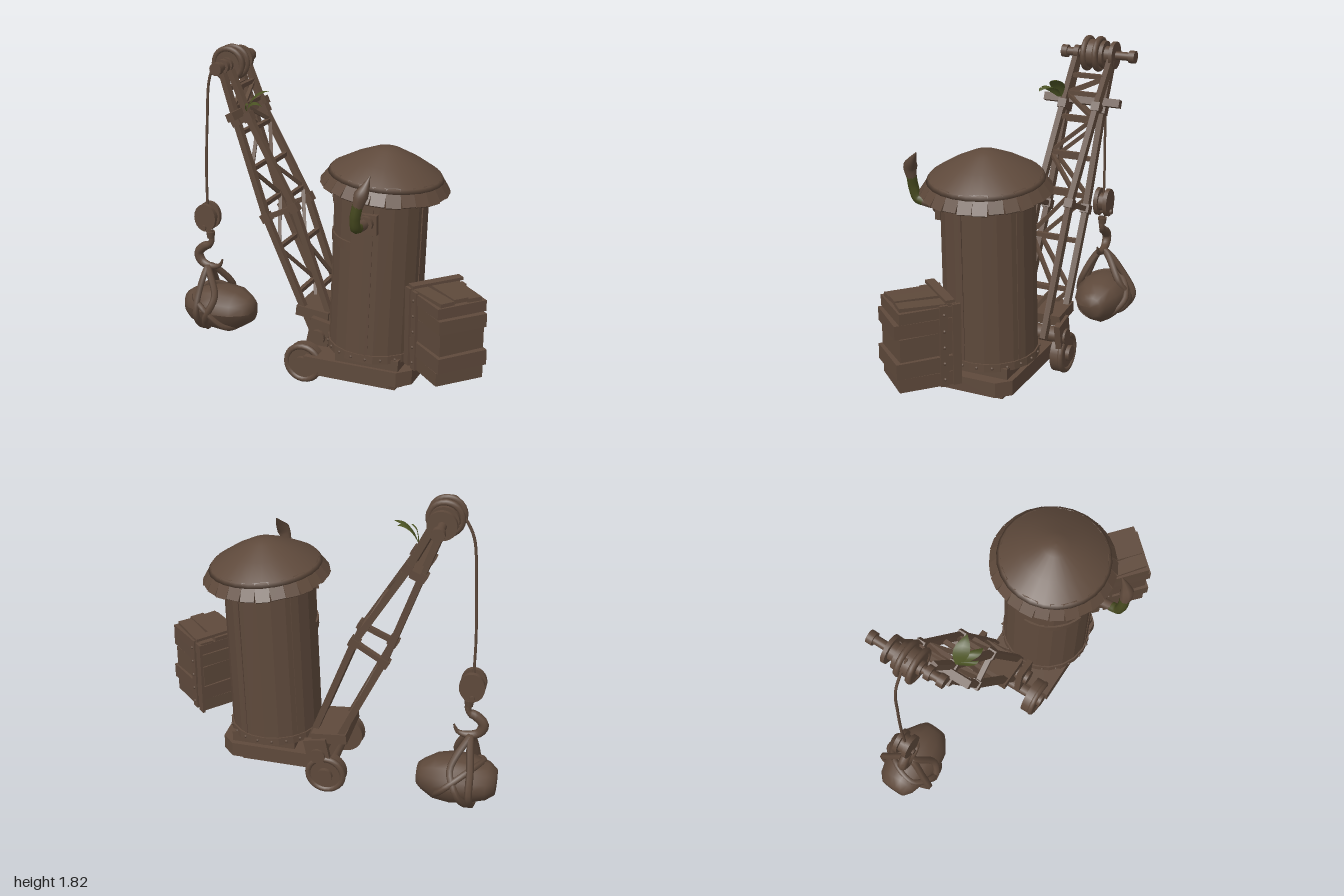
import * as THREE from 'three';

const V = (x, y, z) => new THREE.Vector3(x, y, z);
const paint = (name, color, extra = {}) => Object.assign(new THREE.MeshStandardMaterial({ color, ...extra }), { name });

export function createModel() {
  const model = new THREE.Group();
  const wood = paint('brown', 0x5e493b);
  const facet = wood;
  const moss = paint('moss green', 0x46491f);
  const leafGreen = paint('leaf green', 0x4c5424, { side: THREE.DoubleSide });
  const blue = paint('window blue', 0x2c5c7c);

  const add = (name, geo, pos = [0, 0, 0], rot = [0, 0, 0], mat = wood, parent = model) => {
    const m = new THREE.Mesh(geo, mat);
    m.name = name;
    m.position.set(...pos);
    m.rotation.set(...rot);
    parent.add(m);
    return m;
  };
  const group = (name, pos = [0, 0, 0], rot = [0, 0, 0]) => {
    const g = new THREE.Group();
    g.name = name;
    g.position.set(...pos);
    g.rotation.set(...rot);
    model.add(g);
    return g;
  };
  const box = (w, h, d) => new THREE.BoxGeometry(w, h, d);
  const cyl = (r0, r1, h, n = 20) => new THREE.CylinderGeometry(r0, r1, h, n);
  const flat = (geo) => {
    const g = geo.toNonIndexed();
    g.computeVertexNormals();
    return g;
  };
  // Square bar between two points
  const beam = (name, a, b, w, h = w, parent = model) => {
    const m = add(name, box(w, h, a.distanceTo(b)), [0, 0, 0], [0, 0, 0], wood, parent);
    m.position.copy(a).lerp(b, 0.5);
    m.lookAt(b);
    return m;
  };
  // Tube whose radius follows a rule along its length
  const tube = (pts, radius, closed = false, n = 28, sides = 8) => {
    const curve = new THREE.CatmullRomCurve3(pts, closed);
    const g = new THREE.TubeGeometry(curve, n, 1, sides, closed);
    const p = g.attributes.position, v = V(0, 0, 0);
    for (let i = 0; i < p.count; i++) {
      const t = Math.floor(i / (sides + 1)) / n, c = curve.getPointAt(t);
      v.fromBufferAttribute(p, i).sub(c).multiplyScalar(radius(t)).add(c);
      p.setXYZ(i, v.x, v.y, v.z);
    }
    return g;
  };

  // Base platform with clipped rear corners
  const slab = (x0, x1, z0, z1, h, cut) => {
    const s = new THREE.Shape([[x0, -z0], [x1 - cut, -z0], [x1, -z0 - cut], [x1, -z1 + cut], [x1 - cut, -z1], [x0, -z1]]
      .map(([x, y]) => new THREE.Vector2(x, y)));
    return new THREE.ExtrudeGeometry(s, { depth: h, bevelEnabled: false });
  };
  add('basePlatform', slab(-0.02, 0.6, -0.24, 0.21, 0.085, 0.07), [0, 0.1, 0], [-Math.PI / 2, 0, 0]);
  add('lowerPlatform', slab(0.03, 0.54, -0.2, 0.18, 0.035, 0.06), [0, 0.065, 0], [-Math.PI / 2, 0, 0]);
  for (let i = 0; i < 5; i++) add('undersidePlank', box(0.45, 0.02, 0.058), [0.28, 0.058, -0.14 + i * 0.065]);
  add('towerNeck', box(0.37, 0.07, 0.4), [0.35, 0.21, -0.01]);

  // Wheels and axle
  for (const [z, s] of [[0.14, 1], [-0.285, -1]]) {
    add('wheel', cyl(0.113, 0.113, 0.065, 24), [-0.043, 0.12, z], [Math.PI / 2, 0, 0]);
    add('wheelRim', new THREE.TorusGeometry(0.1, 0.018, 8, 24), [-0.043, 0.12, z + s * 0.025]);
    add('wheelHub', cyl(0.045, 0.045, 0.03, 12), [-0.043, 0.12, z + s * 0.04], [Math.PI / 2, 0, 0]);
  }
  add('axle', cyl(0.035, 0.035, 0.46, 10), [-0.043, 0.12, -0.07], [Math.PI / 2, 0, 0]);

  // Tower body, leaning slightly
  const tower = group('tower', [0.322, 0.23, -0.013], [0, 0, -0.034]);
  add('towerBody', flat(cyl(0.253, 0.258, 1.04, 20)), [0, 0.52, 0], [0, 0, 0], facet, tower);
  add('towerBaseBand', flat(cyl(0.266, 0.268, 0.045, 20)), [0, 0.025, 0], [0, 0, 0], facet, tower);
  for (let i = 0; i < 20; i++) {
    const a = (i + 0.5) / 20 * Math.PI * 2;
    add('rivet', new THREE.SphereGeometry(0.009, 6, 4), [Math.sin(a) * 0.266, 0.025, Math.cos(a) * 0.266], [0, 0, 0], wood, tower);
    if (i % 4 === 0) add('towerSeam', box(0.018, 1, 0.008), [Math.sin(a) * 0.254, 0.52, Math.cos(a) * 0.254], [0, a, 0], wood, tower);
  }
  // Side patch strap
  add('towerStrap', new THREE.CylinderGeometry(0.264, 0.264, 0.05, 8, 1, false, -1.6, 1.3), [0, 0.66, 0], [0, 0, 0], wood, tower);
  // Window
  const win = new THREE.Group();
  win.name = 'window';
  win.position.set(0, 0.935, 0);
  win.rotation.y = -1.13;
  tower.add(win);
  add('windowPane', box(0.085, 0.13, 0.008), [0, 0, 0.254], [0, 0, 0], blue, win);
  for (const s of [-1, 1]) {
    add('windowSide', box(0.014, 0.15, 0.02), [s * 0.046, 0, 0.254], [0, 0, 0], wood, win);
    add('windowLedge', box(0.11, 0.014, 0.022), [0, s * 0.07, 0.254], [0, 0, 0], wood, win);
  }

  // Roof with shingle skirt
  const roof = group('roof', [0.37, 1.2, -0.013], [0, 0, -0.09]);
  const profile = [[0.25, 0.0], [0.315, 0.04], [0.3, 0.06], [0.19, 0.127], [0.075, 0.182], [0.03, 0.193], [0, 0.195]];
  add('roofCone', new THREE.LatheGeometry(profile.map(([x, y]) => new THREE.Vector2(x, y)), 26), [0, 0, 0], [0, 0, 0], wood, roof);
  add('roofUnderside', cyl(0.27, 0.25, 0.03, 26), [0, 0.012, 0], [0, 0, 0], wood, roof);
  for (let i = 0; i < 26; i++) {
    const pivot = new THREE.Group();
    pivot.name = 'shingle';
    pivot.rotation.y = i / 26 * Math.PI * 2;
    roof.add(pivot);
    add('shinglePlate', box(0.077, 0.095 + (i % 3) * 0.006, 0.018), [0, 0.016, 0.315], [-0.6, 0, (i % 4 - 1.5) * 0.03], wood, pivot);
  }

  // Bent chimney pipe
  add('pipePlate', box(0.115, 0.11, 0.03), [0.37, 1.04, 0.25]);
  add('pipeCollar', cyl(0.042, 0.042, 0.03, 12), [0.37, 1.05, 0.275], [Math.PI / 2, 0, 0]);
  add('pipeArm', tube([V(0.365, 1.05, 0.24), V(0.365, 1.05, 0.32), V(0.365, 1.06, 0.385)], () => 0.028));
  add('pipeBend', tube([V(0.365, 1.055, 0.365), V(0.365, 1.07, 0.405), V(0.37, 1.13, 0.425), V(0.385, 1.2, 0.428)], () => 0.029), undefined, undefined, moss);
  add('pipeSpout', tube([V(0.383, 1.19, 0.428), V(0.4, 1.25, 0.425), V(0.415, 1.29, 0.405), V(0.428, 1.345, 0.37)],
    (t) => t < 0.4 ? 0.028 + t * 0.03 : 0.002 + 0.063 * (1 - t)));

  // Slatted crate hung on the tower
  const crate = group('crate', [0.79, 0, 0.165], [0, -0.72, 0]);
  const rows = [[0.24, 0.075], [0.32, 0.085], [0.41, 0.125], [0.54, 0.075], [0.62, 0.06]];
  rows.forEach(([y, h], i) => {
    add('cratePlankRow', box(0.315 + (i % 2) * 0.025, h, 0.27 + ((i + 1) % 3) * 0.012), [0.005 + (i % 2) * 0.008, y + h / 2, 0], [0, (i % 3 - 1) * 0.025, 0], wood, crate);
  });
  add('crateCore', box(0.29, 0.42, 0.25), [0, 0.46, 0], [0, 0, 0], wood, crate);
  for (let i = 0; i < 3; i++) add('crateLid', box(0.3, 0.022, 0.085), [0, 0.685 + (i % 2) * 0.01, -0.09 + i * 0.09], [0, (i - 1) * 0.06, 0.03], wood, crate);
  for (const s of [-1, 1]) {
    for (const u of [-0.145, -0.075]) add('crateBracket', box(0.045, 0.45, 0.016), [u, 0.465, s * 0.148], [0, 0, 0], wood, crate);
    for (let i = 0; i < 5; i++) add('crateRivet', new THREE.SphereGeometry(0.009, 6, 4), [-0.075, 0.28 + i * 0.09, s * 0.156], [0, 0, 0], wood, crate);
  }
  add('crateTopStrap', box(0.05, 0.016, 0.31), [-0.11, 0.71, 0], [0, 0, 0], wood, crate);

  // Lattice boom: four chords tied by struts and diagonals
  const paths = {
    upper: [[-0.6, 1.7], [-0.48, 1.45], [-0.19, 0.96], [0.08, 0.24]],
    lower: [[-0.65, 1.7], [-0.55, 1.42], [-0.36, 0.88], [-0.04, 0.2]],
  };
  const depth = { upper: [[-0.11, -0.03], [-0.32, -0.22]], lower: [[-0.1, -0.02], [-0.31, -0.27]] };
  const chord = (kind, side, t) => {
    const p = paths[kind], k = Math.min(2, Math.floor(t * 3)), f = t * 3 - k;
    const [z0, z1] = depth[kind][side];
    return V(p[k][0] + (p[k + 1][0] - p[k][0]) * f, p[k][1] + (p[k + 1][1] - p[k][1]) * f, z0 + (z1 - z0) * t);
  };
  const boom = group('boom');
  for (const side of [0, 1]) {
    for (const kind of ['upper', 'lower']) {
      for (let k = 0; k < 3; k++) beam('boomChord', chord(kind, side, k / 3), chord(kind, side, (k + 1) / 3), 0.034, 0.036, boom);
      for (const t of [1 / 3, 2 / 3]) add('chordClamp', box(0.055, 0.05, 0.05), chord(kind, side, t).toArray(), [0, 0, 0.5], wood, boom);
    }
    beam('sideStrut', chord('upper', side, 2 / 3), chord('lower', side, 2 / 3), 0.028, 0.028, boom);
    beam('sideStrut', chord('upper', side, 1 / 3), chord('lower', side, 1 / 3), 0.028, 0.028, boom);
  }
  for (const kind of ['upper', 'lower']) {
    for (let i = 1; i < 8; i++) {
      const t = i / 8;
      beam('crossStrut', chord(kind, 0, t), chord(kind, 1, t), 0.024, 0.024, boom);
      beam('crossDiagonal', chord(kind, i % 2, t), chord(kind, (i + 1) % 2, t + 0.125), 0.02, 0.02, boom);
    }
  }
  add('boomCrossbar', box(0.045, 0.045, 0.46), [-0.53, 1.47, -0.18], [0, 0, 0.4]);
  add('boomFoot', box(0.2, 0.06, 0.3), [-0.06, 0.35, -0.15], [0, 0, -0.1]);
  add('boomPivot', cyl(0.045, 0.045, 0.4, 12), [0.0, 0.24, -0.13], [Math.PI / 2, 0, 0]);
  for (const z of [0.03, -0.3]) add('pivotCheek', box(0.13, 0.2, 0.035), [0, 0.24, z], [0, 0, -0.2]);

  // Head pulleys
  const head = group('headPulleys', [-0.645, 1.72, 0]);
  const disc = (name, r, w, z) => add(name, cyl(r, r, w, 22), [0, 0, z], [Math.PI / 2, 0, 0], wood, head);
  disc('headAxle', 0.024, 0.44, -0.23);
  for (const z of [-0.025, -0.435]) disc('axleKnob', 0.036, 0.035, z);
  for (const z of [-0.165, -0.235]) add('pulleyFlange', new THREE.TorusGeometry(0.086, 0.017, 8, 24), [0, 0, z], [0, 0, 0], wood, head);
  disc('pulleyCore', 0.082, 0.09, -0.2);
  for (const z of [-0.265, -0.325]) disc('smallPulley', 0.078, 0.022, z);
  disc('smallPulleyCore', 0.05, 0.06, -0.295);
  for (const z of [-0.1, -0.15]) disc('pulleyHub', 0.04, 0.03, z);

  // Hoist rope, block and hook
  const hz = -0.21;
  add('hoistRope', tube([V(-0.66, 1.81, hz), V(-0.74, 1.72, hz), V(-0.79, 1.62, hz), V(-0.815, 1.35, hz), V(-0.83, 1.05, hz), V(-0.83, 0.82, hz)], () => 0.008, false, 36, 6));
  for (const s of [-1, 1]) add('blockCheek', cyl(0.07, 0.07, 0.025, 20), [-0.83, 0.77, hz + s * 0.03], [Math.PI / 2, 0, 0]).scale.z = 1.22;
  add('blockSheave', cyl(0.055, 0.055, 0.05, 16), [-0.83, 0.77, hz], [Math.PI / 2, 0, 0]);
  add('blockPin', cyl(0.016, 0.016, 0.11, 8), [-0.835, 0.71, hz], [Math.PI / 2, 0, 0]);
  add('hookCollar', cyl(0.028, 0.022, 0.04, 10), [-0.815, 0.655, hz]);
  add('hook', tube([V(-0.815, 0.69, hz), V(-0.815, 0.6, hz), V(-0.86, 0.575, hz), V(-0.9, 0.53, hz), V(-0.88, 0.475, hz), V(-0.82, 0.452, hz), V(-0.76, 0.465, hz), V(-0.738, 0.51, hz)],
    (t) => t < 0.25 ? 0.018 : 0.003 + 0.026 * Math.sin(Math.PI * Math.min(1, 0.1 + t * 0.88))));

  // Slung boulder
  const stone = [[0, -0.22], [0.07, -0.215], [0.105, -0.17], [0.13, -0.08], [0.142, 0.02], [0.125, 0.12], [0.085, 0.19], [0.06, 0.22], [0, 0.225]];
  const rock = new THREE.LatheGeometry(stone.map(([r, y]) => new THREE.Vector2(r, y)), 14);
  const rp = rock.attributes.position;
  for (let i = 0; i < rp.count; i++) {
    const a = Math.atan2(rp.getZ(i), rp.getX(i)), k = 1 + 0.07 * Math.cos(3 * a + 6 * rp.getY(i));
    rp.setXYZ(i, rp.getX(i) * k, rp.getY(i), rp.getZ(i) * k * 1.08);
  }
  rock.computeVertexNormals();
  add('boulder', rock, [-0.777, 0.185, -0.245], [0, 0, -Math.PI / 2]);
  for (const [x, lean] of [[-0.86, -0.01], [-0.75, -0.1]]) {
    add('sling', tube([V(-0.835, 0.455, hz), V(x, 0.3, -0.115), V(x + lean / 2, 0.17, -0.085), V(x + lean, 0.055, -0.2), V(x + lean, 0.065, -0.31), V(x + lean / 2, 0.18, -0.405), V(x, 0.3, -0.35)], () => 0.021, true, 40, 6));
  }
  add('slingBand', tube([V(-0.91, 0.27, -0.16), V(-0.82, 0.22, -0.085), V(-0.7, 0.1, -0.13), V(-0.66, 0.08, -0.27), V(-0.72, 0.2, -0.405), V(-0.86, 0.3, -0.32)], () => 0.018, true, 40, 6));

  // Curved leaves sprouting from the boom
  const leaf = (tip, mid, width) => {
    const g = new THREE.PlaneGeometry(1, 1, 2, 8), p = g.attributes.position;
    const c = new THREE.QuadraticBezierCurve3(V(-0.48, 1.49, -0.06), mid, tip);
    for (let i = 0; i < p.count; i++) {
      const t = p.getY(i) + 0.5, s = p.getX(i) * 2, q = c.getPoint(t);
      const w = width * Math.sin(Math.PI * (0.08 + 0.92 * t));
      p.setXYZ(i, q.x + s * w * 0.35, q.y - Math.abs(s) * w * 0.3, q.z + s * w);
    }
    g.computeVertexNormals();
    add('leaf', g, undefined, undefined, leafGreen);
  };
  leaf(V(-0.35, 1.61, -0.08), V(-0.44, 1.62, -0.06), 0.04);
  leaf(V(-0.35, 1.54, 0.01), V(-0.42, 1.6, -0.01), 0.035);
  leaf(V(-0.42, 1.55, 0.03), V(-0.47, 1.57, 0.0), 0.03);

  return model;
}
